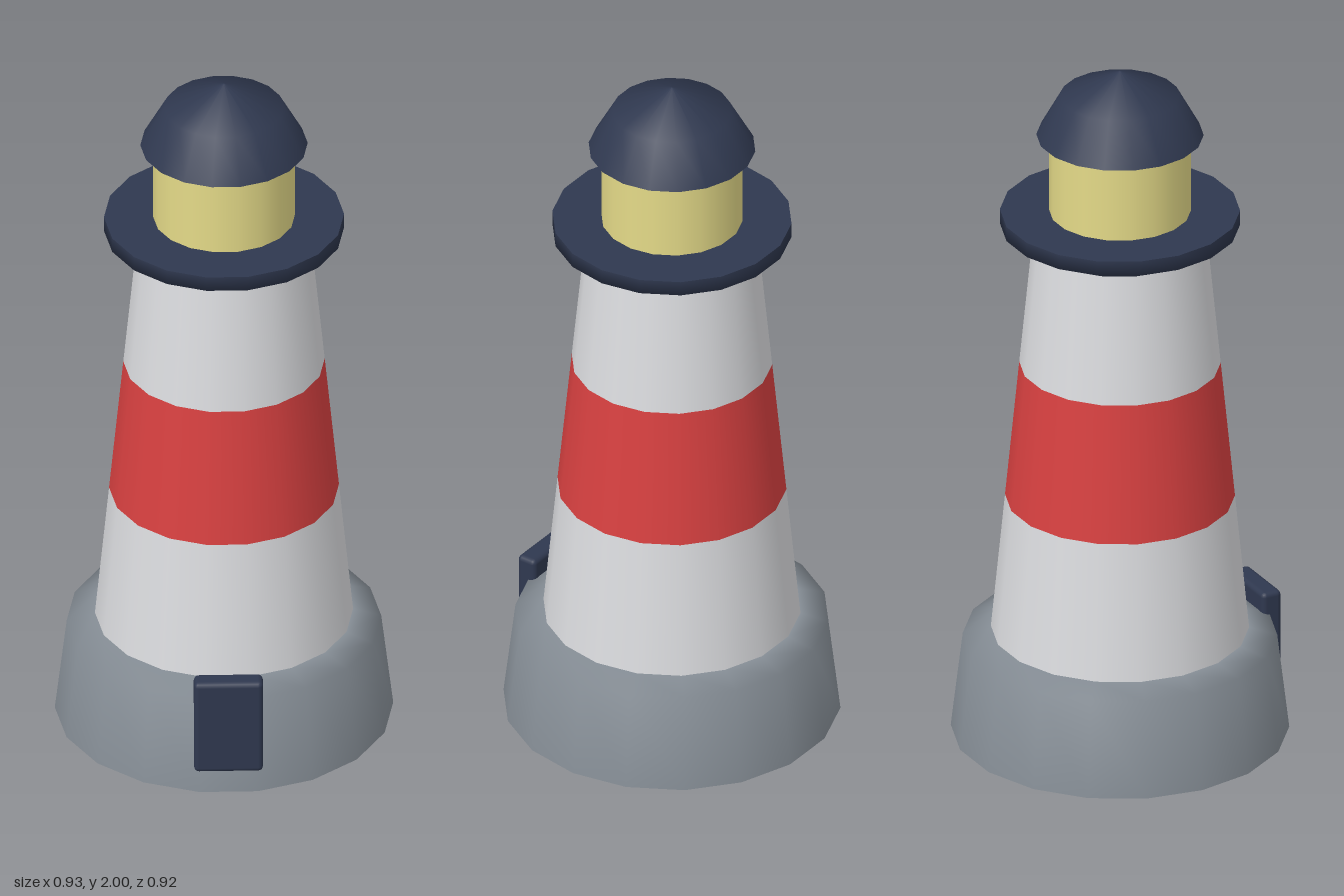
import * as THREE from 'three';
import { RoundedBoxGeometry } from 'three/addons/geometries/RoundedBoxGeometry.js';

const SIDES = 18;

function material(name, color) {
  const m = new THREE.MeshStandardMaterial({ color });
  m.name = name;
  return m;
}

export function createModel() {
  const group = new THREE.Group();
  group.name = 'lighthouse';

  const stone = material('stone grey', 0x868e96);
  const white = material('white paint', 0xdcdde0);
  const red = material('red paint', 0xd94141);
  const navy = material('navy blue', 0x2f384f);
  const glow = material('lamp yellow', 0xe4da88);

  function add(name, geometry, mat) {
    const mesh = new THREE.Mesh(geometry, mat);
    mesh.name = name;
    group.add(mesh);
    return mesh;
  }

  // Turned part from [radius, height] points, bottom to top, with a corner on +x.
  // A repeated point makes a sharp edge.
  function turned(name, points, mat) {
    const profile = points.map(([r, y]) => new THREE.Vector2(r, y));
    return add(name, new THREE.LatheGeometry(profile, SIDES, Math.PI / 2), mat);
  }

  // Stone foot with a soft rim
  turned('base', [[0, 0], [0.465, 0], [0.465, 0], [0.432, 0.28], [0.355, 0.303], [0, 0.303]], stone);

  // Tapering tower in three painted bands
  const bands = [
    ['lowerTower', 0.295, 0.705, white],
    ['redBand', 0.705, 1.11, red],
    ['upperTower', 1.11, 1.5, white],
  ];
  const radiusAt = (y) => 0.355 - (y - 0.3) * 0.0966;
  for (const [name, y0, y1, mat] of bands) {
    turned(name, [[radiusAt(y0), y0], [radiusAt(y1), y1]], mat);
  }

  // Gallery: flared underside, upright rim and flat deck
  turned('gallery', [
    [0, 1.485], [0.238, 1.485], [0.33, 1.532], [0.33, 1.575], [0.33, 1.575], [0, 1.575],
  ], navy);

  // Lamp room
  turned('lampRoom', [[0.195, 1.57], [0.195, 1.81]], glow);

  // Domed roof with a closed underside
  turned('roof', [[0, 1.805], [0.23, 1.805], [0.23, 1.805], [0.164, 1.925], [0, 2]], navy);

  // Door set into the front of the base
  const door = add('door', new RoundedBoxGeometry(0.19, 0.285, 0.06, 2, 0.014), navy);
  door.position.set(0, 0.2025, 0.427);

  return group;
}
